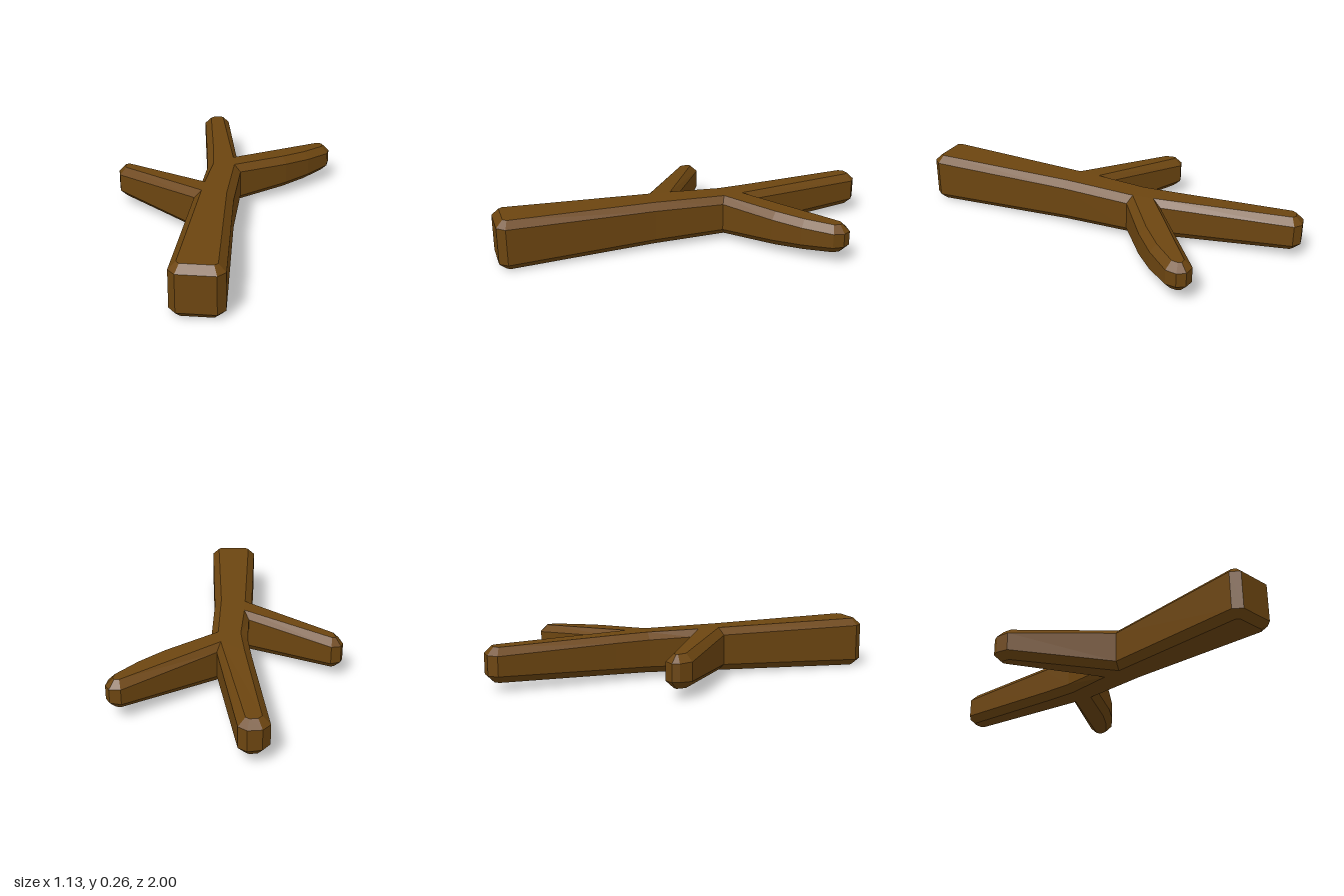
import * as THREE from 'three';

// Plan outline of the forked branch as [x, z], counter-clockwise seen from above
const OUTLINE = [
  // thick cut end and right side
  [-0.09, 1], [0.09, 1], [0.125, 0.96], [0.088, 0.21], [0.092, -0.15],
  // right twig
  [0.33, -0.32], [0.45, -0.425], [0.555, -0.545], [0.563, -0.6], [0.54, -0.64], [0.485, -0.648],
  // fork and far tip
  [0.06, -0.32], [-0.05, -0.97], [-0.09, -1], [-0.155, -0.99], [-0.19, -0.945], [-0.11, -0.36], [-0.09, -0.18],
  // left twig
  [-0.095, 0.04], [-0.505, -0.215], [-0.555, -0.2], [-0.567, -0.165], [-0.55, -0.1],
  // left side back to the cut end
  [-0.11, 0.21], [-0.125, 0.96],
];

const CHAMFER = 0.035;
const MID_Y = 0.128;

// Half thickness: thins toward the far tip and along the twigs
function halfHeight(x, z) {
  return 0.128 - 0.021 * (0.96 - z) - 0.058 * Math.max(0, Math.abs(x) - 0.12);
}

export function createModel() {
  const bark = new THREE.MeshStandardMaterial({ color: 0x6c4510 });
  bark.name = 'bark brown';

  const shape = new THREE.Shape(OUTLINE.map(([x, z]) => new THREE.Vector2(x, -z)));
  let geometry = new THREE.ExtrudeGeometry(shape, {
    depth: 2, steps: 1,
    bevelEnabled: true, bevelSegments: 1, bevelThickness: 1,
    bevelSize: CHAMFER, bevelOffset: -CHAMFER,
  });
  geometry.translate(0, 0, -1);
  geometry.rotateX(-Math.PI / 2);

  // Layers at +-2 are the top and bottom faces, layers at +-1 the side walls
  const p = geometry.attributes.position;
  for (let i = 0; i < p.count; i++) {
    const layer = p.getY(i);
    const h = halfHeight(p.getX(i), p.getZ(i));
    const reach = Math.abs(layer) > 1.5 ? h : h - CHAMFER;
    p.setY(i, MID_Y + Math.sign(layer) * reach);
  }
  geometry.clearGroups();
  if (geometry.index) geometry = geometry.toNonIndexed();
  geometry.computeVertexNormals(); // one normal per facet

  const branch = new THREE.Mesh(geometry, bark);
  branch.name = 'forkedBranch';

  const model = new THREE.Group();
  model.name = 'woodenBranch';
  model.add(branch);
  return model;
}
